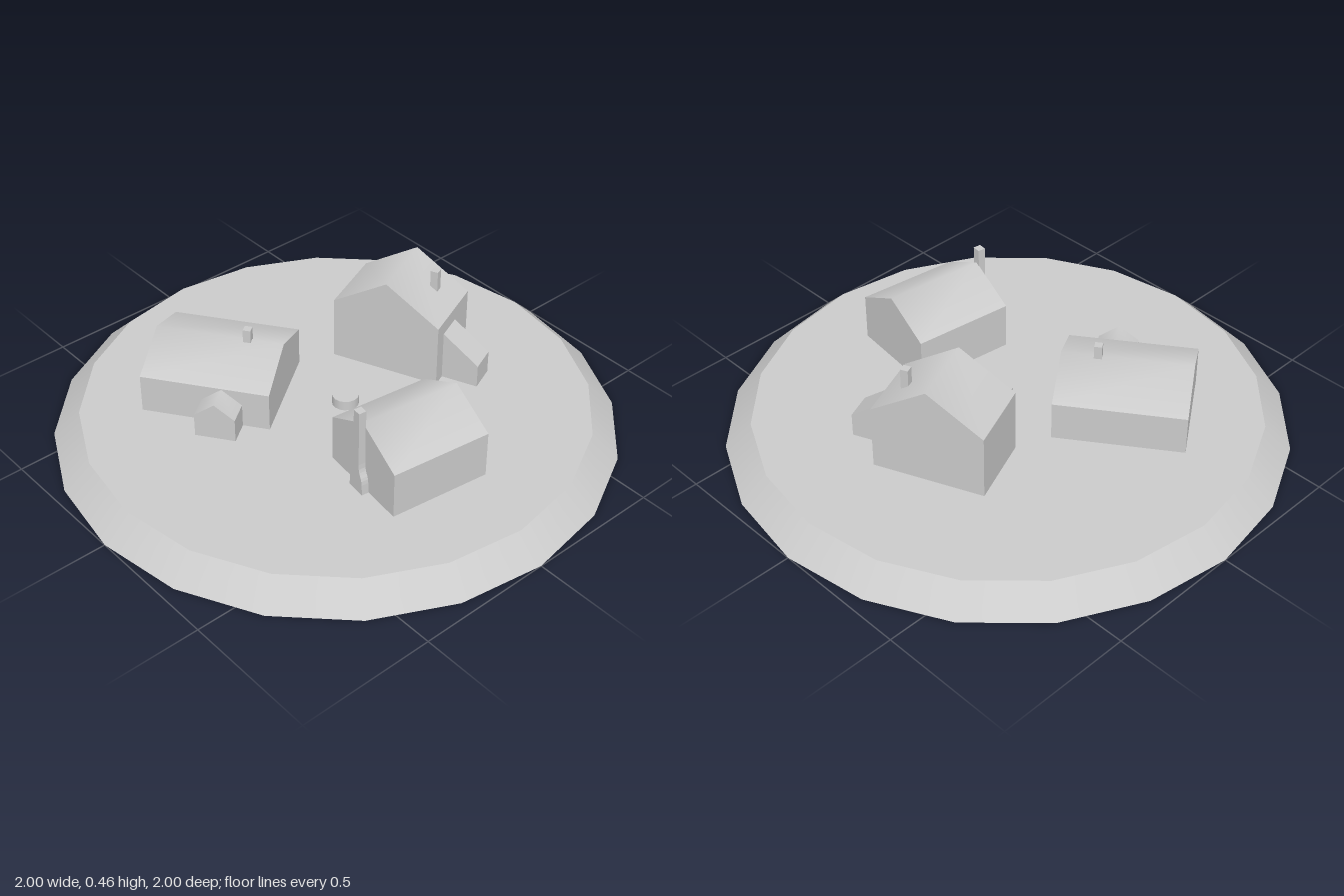
import * as THREE from 'three';

const material = new THREE.MeshStandardMaterial({ color: 0xcccccc, side: THREE.DoubleSide });
const GROUND = 0.09;

function addMesh(parent, name, geometry, x = 0, y = 0, z = 0) {
  const mesh = new THREE.Mesh(geometry, material);
  mesh.name = name;
  mesh.position.set(x, y, z);
  parent.add(mesh);
  return mesh;
}

// Gabled block with its ridge along local z, as separate walls and roof
function gabledBlock(name, width, length, eave, ridge) {
  const group = new THREE.Group();
  group.name = name;
  const w = width / 2;
  const points = [];
  // Cross-section repeated at the back (0-4) and the front (5-9)
  for (const z of [-length / 2, length / 2]) {
    points.push(-w, 0, z, w, 0, z, w, eave, z, 0, ridge, z, -w, eave, z);
  }
  const surface = (index) => {
    const g = new THREE.BufferGeometry();
    g.setAttribute('position', new THREE.Float32BufferAttribute(points, 3));
    g.setIndex(index);
    return g;
  };
  const walls = surface([
    5, 6, 7, 5, 7, 9, 9, 7, 8, // front gable
    1, 0, 4, 1, 4, 2, 2, 4, 3, // back gable
    6, 1, 2, 6, 2, 7, // right wall
    0, 5, 9, 0, 9, 4, // left wall
  ]).toNonIndexed();
  const roof = surface([7, 2, 3, 7, 3, 8, 8, 3, 4, 8, 4, 9]);
  walls.computeVertexNormals();
  roof.computeVertexNormals();
  addMesh(group, 'walls', walls);
  addMesh(group, 'roof', roof);
  return group;
}

function house(parent, name, x, z, angle, ...size) {
  const group = gabledBlock(name, ...size);
  group.position.set(x, GROUND, z);
  group.rotation.y = angle;
  parent.add(group);
  return group;
}

// Square chimney between two heights
function chimney(parent, x, z, bottom, top) {
  const g = new THREE.BoxGeometry(0.028, top - bottom, 0.028);
  addMesh(parent, 'chimney', g, x, (top + bottom) / 2, z);
}

export function createModel() {
  const model = new THREE.Group();
  model.name = 'village';

  // Ground: flat disc with a sloping rim, open underneath
  const rim = new THREE.CylinderGeometry(0.905, 1, GROUND, 20, 1, true);
  addMesh(model, 'groundRim', rim, 0, GROUND / 2, 0);
  const disc = new THREE.CylinderGeometry(0.905, 0.905, 0, 20, 1, true);
  disc.dispose();
  const top = new THREE.CircleGeometry(0.905, 20).rotateX(-Math.PI / 2);
  addMesh(model, 'groundTop', top, 0, GROUND, 0);

  // Well
  addMesh(model, 'well', new THREE.CylinderGeometry(0.048, 0.048, 0.037, 16), 0.037, GROUND + 0.0185, -0.01);

  // Long house with a gabled porch
  const longHouse = house(model, 'longHouse', -0.324, 0.258, -0.956, 0.4, 0.463, 0.145, 0.222);
  chimney(longHouse, 0, -0.102, 0.19, 0.267);
  const porch = gabledBlock('porch', 0.145, 0.089, 0.088, 0.142);
  porch.position.set(0.2445, 0, -0.062);
  porch.rotation.y = Math.PI / 2;
  longHouse.add(porch);

  // Tall house with a lean-to
  const tallHouse = house(model, 'tallHouse', -0.066, -0.366, 0.395, 0.407, 0.266, 0.24, 0.37);
  chimney(tallHouse, 0.117, -0.032, 0.25, 0.366);
  const leanToShape = new THREE.Shape([
    new THREE.Vector2(0.2, 0), new THREE.Vector2(0.339, 0),
    new THREE.Vector2(0.339, 0.088), new THREE.Vector2(0.2, 0.19),
  ]);
  const leanTo = new THREE.ExtrudeGeometry(leanToShape, { depth: 0.101, bevelEnabled: false });
  addMesh(tallHouse, 'leanTo', leanTo, 0, 0, -0.02);

  // Small house with a flared chimney breast on its front gable
  const smallHouse = house(model, 'smallHouse', 0.436, 0.058, -0.128, 0.356, 0.377, 0.175, 0.27);
  const flare = new THREE.Shape();
  flare.moveTo(-0.036, 0);
  flare.lineTo(0.036, 0);
  flare.lineTo(0.034, 0.04);
  flare.bezierCurveTo(0.032, 0.075, 0.015, 0.07, 0.015, 0.115);
  flare.lineTo(0.015, 0.328);
  flare.lineTo(-0.015, 0.328);
  flare.lineTo(-0.015, 0.115);
  flare.bezierCurveTo(-0.015, 0.07, -0.032, 0.075, -0.034, 0.04);
  const breast = new THREE.ExtrudeGeometry(flare, { depth: 0.028, bevelEnabled: false, curveSegments: 6 });
  addMesh(smallHouse, 'chimneyBreast', breast, 0, 0, 0.187);

  return model;
}
